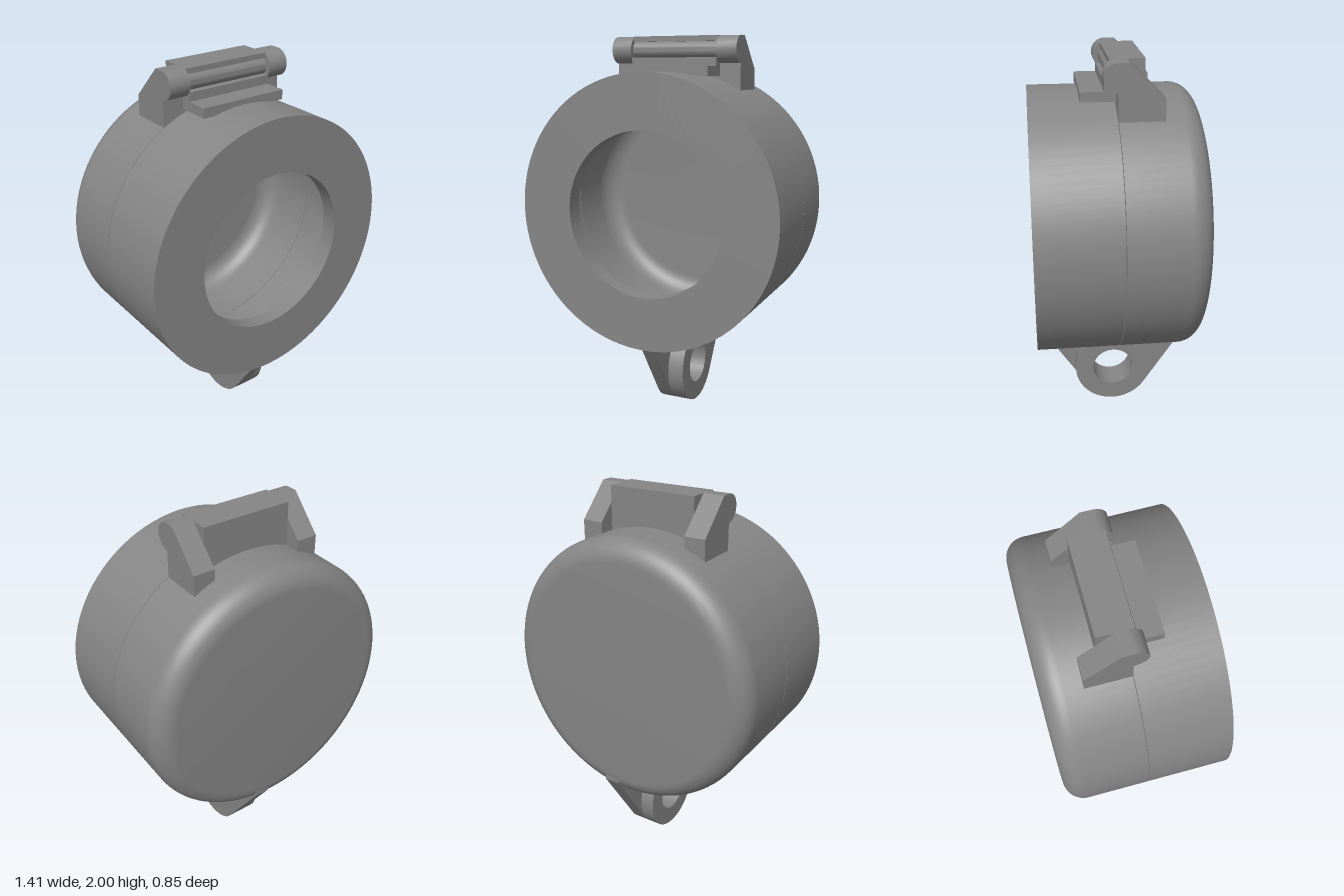
import * as THREE from 'three';
import { toCreasedNormals } from 'three/addons/utils/BufferGeometryUtils.js';

const CENTRE_Y = 1.112, R = 0.705, INNER = 0.62, HOLE = 0.425, HALF = 0.425;
const BACK_INNER = -0.34, FILLET = 0.11, GAP = 0.0015;

export function createModel() {
  const group = new THREE.Group();
  const material = new THREE.MeshStandardMaterial({ color: 0x858585 });

  function add(name, geometry) {
    const mesh = new THREE.Mesh(toCreasedNormals(geometry, 0.45), material);
    mesh.name = name;
    group.add(mesh);
    return mesh;
  }

  // Points along an arc, angles in degrees
  function arc(cx, cy, r, from, to, n = 16) {
    return Array.from({ length: n + 1 }, (_, i) => {
      const a = THREE.MathUtils.degToRad(from + (to - from) * i / n);
      return [cx + r * Math.cos(a), cy + r * Math.sin(a)];
    });
  }

  // Revolve a (radius, z) profile about the housing axis
  function revolve(name, profile) {
    const g = new THREE.LatheGeometry(profile.map(p => new THREE.Vector2(...p)), 96);
    g.rotateX(Math.PI / 2);
    add(name, g).position.y = CENTRE_Y;
  }

  // Extrude a side profile (-z, y) from x0 to x1, with an optional round hole
  function extrudeSide(name, profile, x0, x1, hole) {
    const shape = new THREE.Shape(profile.map(p => new THREE.Vector2(...p)));
    if (hole) shape.holes.push(new THREE.Path().absarc(...hole, 0, Math.PI * 2, true));
    const g = new THREE.ExtrudeGeometry(shape, { depth: x1 - x0, bevelEnabled: false, curveSegments: 40 });
    g.rotateY(Math.PI / 2);
    add(name, g).position.x = x0;
  }

  // Front half: ring with a round opening
  revolve('frontHousing', [
    [R, GAP], [R, HALF], [HOLE, HALF], [HOLE, 0.34], [INNER, 0.34], [INNER, GAP], [R, GAP],
  ]);

  // Back half: hollow cup with rounded rim inside and out
  revolve('backCup', [
    [0, -HALF],
    ...arc(R - FILLET, -HALF + FILLET, FILLET, -90, 0, 12),
    [R, -GAP], [INNER, -GAP],
    ...arc(INNER - FILLET, BACK_INNER + FILLET, FILLET, 0, -90, 12),
    [0, BACK_INNER],
  ]);

  // Hinge ears on the back cup
  const ear = [
    ...arc(0, 1.93, 0.07, 90, 270),
    [0, 1.722], [0.225, 1.722], [0.225, 1.83], [0.055, 2],
  ];
  extrudeSide('leftHingeEar', ear, 0.24, 0.352);
  extrudeSide('rightHingeEar', ear, -0.352, -0.24);

  // Centre hinge leaf: top overhangs the pin, stepped flange below
  extrudeSide('hingeLeaf', [
    [0.14, 1.75], [0.14, 2], [-0.034, 2], [-0.034, 1.972], [0, 1.972], [0, 1.89],
    [-0.057, 1.89], [-0.057, 1.845], [-0.173, 1.845], [-0.173, 1.795], [0, 1.795], [0, 1.75],
  ], -0.24, 0.24);
  const pin = new THREE.CylinderGeometry(0.045, 0.045, 0.5, 32);
  pin.rotateZ(Math.PI / 2);
  add('hingePin', pin).position.y = 1.93;

  // Paired bottom lugs, side by side: one tapers forward, the other backward
  const lugHole = [0, 0.213, 0.113];
  extrudeSide('frontLug', [
    ...arc(0, 0.213, 0.213, 216, 450, 48),
    [0, 0.46], [-0.385, 0.46], [-0.385, 0.41],
  ], -0.04, 0.04, lugHole);
  extrudeSide('backLug', [
    ...arc(0, 0.213, 0.213, 90, 324, 48),
    [0.422, 0.47], [0.422, 0.57], [0.36, 0.55], [0.35, 0.46], [0, 0.46],
  ], 0.04, 0.125, lugHole);

  return group;
}
